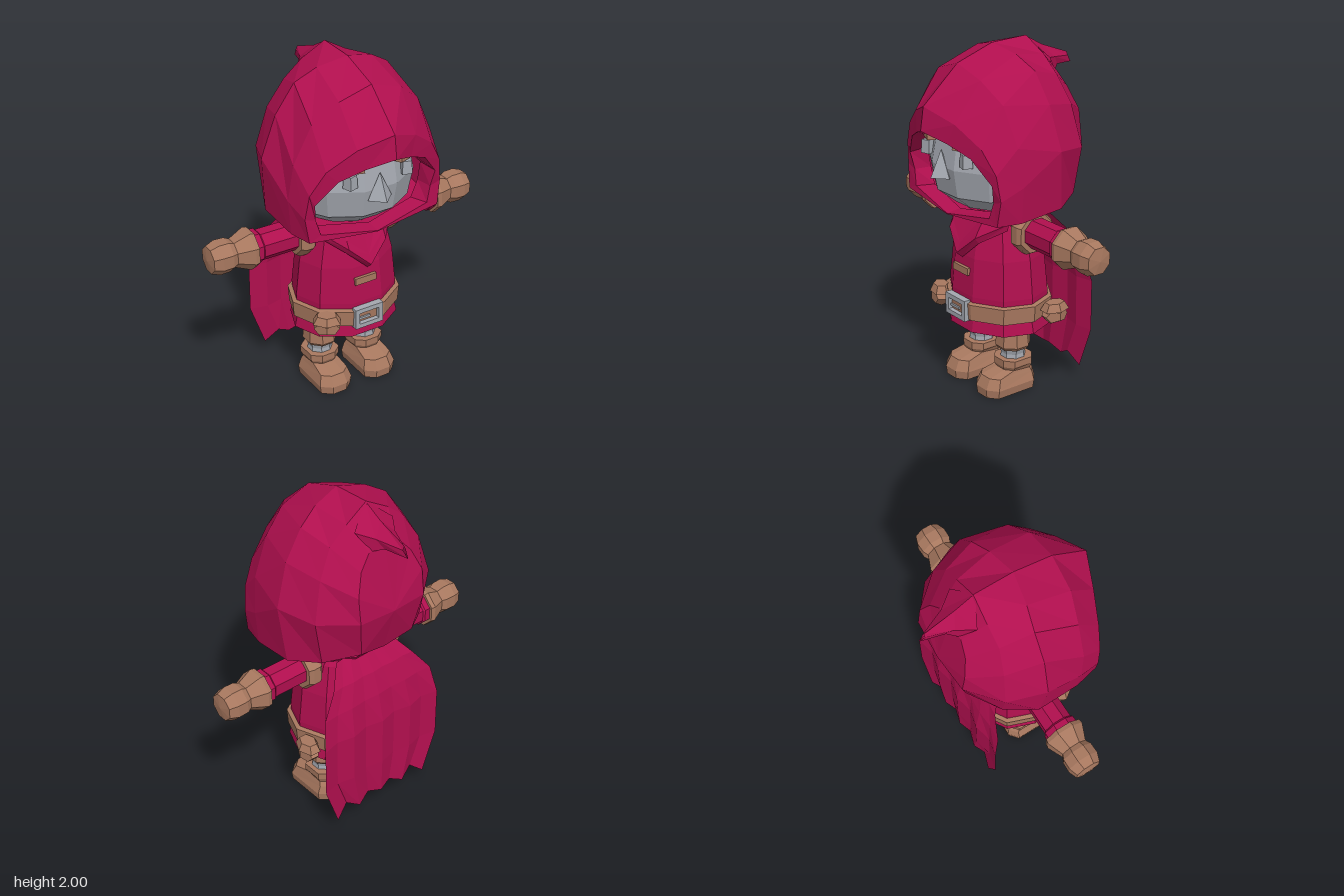
import * as THREE from 'three';

const paint = (name, color, side = THREE.FrontSide) => {
  const m = new THREE.MeshStandardMaterial({ color, flatShading: true, side });
  m.name = name;
  return m;
};

export function createModel() {
  const model = new THREE.Group();
  model.name = 'hoodedFigure';
  const crimson = paint('crimson cloth', 0xb00f4e, THREE.DoubleSide);
  const brown = paint('brown leather', 0xa8785f);
  const grey = paint('grey metal', 0xa3a7af);

  const add = (name, geo, mat, parent = model) => {
    const mesh = new THREE.Mesh(geo, mat);
    mesh.name = name;
    parent.add(mesh);
    return mesh;
  };

  // Skin over rows of points
  const grid = (rows, closed) => {
    const n = rows[0].length, index = [];
    for (let i = 0; i < rows.length - 1; i++)
      for (let j = 0; j < (closed ? n : n - 1); j++) {
        const k = (j + 1) % n;
        const a = i * n + j, b = i * n + k, c = a + n, d = b + n;
        index.push(a, b, d, a, d, c);
      }
    const geo = new THREE.BufferGeometry();
    geo.setAttribute('position', new THREE.Float32BufferAttribute(rows.flat(2), 3));
    geo.setIndex(index);
    geo.computeVertexNormals();
    return geo;
  };

  // Faceted turned shape, profile given from bottom to top
  const turned = (profile, sides, sx = 1, sz = 1) => new THREE.LatheGeometry(
    profile.map(([r, y]) => new THREE.Vector2(r, y)), sides, Math.PI / sides).scale(sx, 1, sz);

  // Hood: half loops from the top to the bottom centre, front rim to back
  const halfLoops = [
    [[0, 1.59, .40], [.14, 1.54, .34], [.25, 1.46, .28], [.35, 1.36, .23], [.35, 1.24, .21], [.30, 1.15, .22], [0, 1.10, .26]],
    [[0, 1.58, .51], [.14, 1.53, .44], [.27, 1.47, .385], [.38, 1.34, .33], [.365, 1.24, .31], [.34, 1.15, .32], [0, 1.09, .35]],
    [[0, 1.71, .49], [.18, 1.64, .42], [.33, 1.53, .36], [.41, 1.40, .325], [.43, 1.26, .31], [.41, 1.12, .32], [0, 1.085, .35]],
    [[0, 1.91, .27], [.19, 1.85, .26], [.33, 1.74, .22], [.43, 1.53, .20], [.455, 1.32, .18], [.44, 1.12, .18], [0, 1.08, .18]],
    [[0, 1.99, .04], [.17, 1.95, .01], [.29, 1.88, -.02], [.40, 1.72, -.03], [.48, 1.48, -.05], [.45, 1.15, -.08], [0, 1.08, -.05]],
    [[0, 2.0, -.19], [.14, 1.92, -.20], [.25, 1.83, -.20], [.34, 1.68, -.23], [.40, 1.45, -.26], [.35, 1.18, -.25], [0, 1.10, -.24]],
    [[0, 1.82, -.33], [.10, 1.80, -.33], [.17, 1.72, -.35], [.22, 1.60, -.39], [.22, 1.45, -.41], [.18, 1.22, -.37], [0, 1.18, -.35]],
  ];
  const hoodRows = halfLoops.map((h) =>
    [...h, ...h.slice(1, -1).reverse().map(([x, y, z]) => [-x, y, z])]);
  hoodRows.push(hoodRows[0].map(() => [0, 1.45, -.425]));
  add('hood', grid(hoodRows, true), crimson);

  // Drooping point at the back of the hood
  const pointBase = [[0, 2.0, -.18], [.13, 1.89, -.25], [.08, 1.80, -.33], [0, 1.83, -.31], [-.08, 1.80, -.33], [-.13, 1.89, -.25]];
  const pointMid = [[0, 1.935, -.30], [.065, 1.87, -.34], [.04, 1.82, -.38], [0, 1.825, -.38], [-.04, 1.82, -.38], [-.065, 1.87, -.34]];
  const pointEnd = [[0, 1.87, -.48], [.01, 1.85, -.48], [0, 1.81, -.51], [0, 1.81, -.51], [0, 1.81, -.51], [-.01, 1.85, -.48]];
  add('hoodPoint', grid([pointBase, pointMid, pointEnd], true), crimson);

  // Head and face
  add('head', turned([[0, 1.09], [.25, 1.115], [.36, 1.2], [.39, 1.36], [.36, 1.52], [.2, 1.68], [0, 1.72]], 12, 1, .99), grey);
  const nose = add('nose', new THREE.ConeGeometry(.075, .15, 4), grey);
  nose.scale.z = .95;
  nose.position.set(-.01, 1.38, .375);
  for (const s of [1, -1]) {
    const eye = add('eye', new THREE.CylinderGeometry(.035, .04, .075, 4), grey);
    eye.position.set(s * .175, 1.43, .345);
    eye.rotation.y = s * .5;
    const brow = add('eyebrow', new THREE.BoxGeometry(.14, .035, .06), brown);
    brow.position.set(s * .165, 1.495, .335);
    brow.rotation.set(0, s * .45, s * -.08);
  }

  // Tunic and the trouser seat below it
  add('tunic', turned([[.25, .4], [.275, .39], [.262, .46], [.265, .6], [.245, .82], [.205, 1.0], [.14, 1.1]], 10, 1.18, 1), crimson);
  add('trouserSeat', turned([[0, .35], [.17, .355], [.262, .41]], 10, 1.15, 1), brown);

  // Collar and neckerchief
  add('collar', turned([[.2, 1.03], [.22, 1.06], [.19, 1.09], [.13, 1.1]], 10, 1.12, 1), crimson);
  const scarfRow = (x1, p, q) => [[-x1, ...p[0]], [-.12, ...p[1]], [0, ...q], [.12, ...p[1]], [x1, ...p[0]]];
  add('neckerchief', grid([
    scarfRow(.23, [[1.0, .11], [.92, .225]], [.81, .25]),
    scarfRow(.24, [[1.04, .11], [.955, .25]], [.845, .29]),
    scarfRow(.20, [[1.06, .13], [1.0, .225]], [.90, .265]),
    scarfRow(.20, [[1.10, .10], [1.09, .17]], [1.08, .18]),
  ], false), crimson);
  add('chestClasp', new THREE.BoxGeometry(.135, .042, .04), brown).position.set(-.012, .737, .237);

  // Belt, buckle and pouches
  add('belt', turned([[.255, .46], [.282, .465], [.288, .56], [.255, .57]], 10, 1.17, 1), brown);
  const frame = new THREE.Shape([[-.09, -.062], [.09, -.062], [.09, .062], [-.09, .062]].map((p) => new THREE.Vector2(...p)));
  frame.holes.push(new THREE.Path([[-.063, -.035], [-.063, .035], [.063, .035], [.063, -.035]].map((p) => new THREE.Vector2(...p))));
  const buckle = new THREE.Group();
  buckle.name = 'buckle';
  add('buckleFrame', new THREE.ExtrudeGeometry(frame, { depth: .04, bevelEnabled: false }), grey, buckle);
  add('buckleProng', new THREE.BoxGeometry(.08, .014, .014), grey, buckle).position.set(-.025, -.01, .018);
  buckle.position.set(-.012, .517, .256);
  model.add(buckle);
  for (const [x, z, turn] of [[-.25, .225, -.55], [.355, -.125, 1.5]]) {
    const pouch = new THREE.Group();
    pouch.name = 'pouch';
    add('pouchBody', new THREE.DodecahedronGeometry(1, 0).scale(.078, .058, .06), brown, pouch).position.y = -.01;
    add('pouchFlap', new THREE.CylinderGeometry(.06, .088, .045, 6).scale(1, 1, .72), brown, pouch).position.y = .042;
    pouch.position.set(x, .5, z);
    pouch.rotation.y = turn;
    model.add(pouch);
  }

  // Arms, turned along their length
  for (const s of [1, -1]) {
    const arm = new THREE.Group();
    arm.name = s > 0 ? 'leftArm' : 'rightArm';
    add('sleeve', turned([[.088, .1], [.088, .54], [.098, .55], [.098, .6]], 8), crimson, arm);
    add('shoulderBand', turned([[.07, .235], [.115, .24], [.13, .26], [.13, .305], [.115, .33], [.07, .33]], 8), brown, arm);
    add('glove', turned([[0, .585], [.115, .585], [.12, .61], [.08, .7], [.095, .73], [.097, .79], [.078, .84], [0, .85]], 8), brown, arm);
    arm.rotation.z = -s * Math.PI / 2;
    arm.position.set(0, .99, -.01);
    model.add(arm);
  }

  // Legs and boots
  const section = (w, back, front, y, yFront = y) => {
    const c = w * .45;
    return [[-c, yFront, front], [c, yFront, front], [w, yFront, front - c], [w, y, back + c],
      [c, y, back], [-c, y, back], [-w, y, back + c], [-w, yFront, front - c]];
  };
  const bootRows = [
    section(.001, 0, .002, 0), section(.098, -.115, .22, 0), section(.106, -.12, .225, .05),
    section(.088, -.11, .195, .10, .11), section(.08, -.095, .09, .125, .135),
    section(.094, -.105, .10, .155), section(.094, -.105, .10, .195), section(.001, 0, .002, .2)];
  for (const s of [1, -1]) {
    const leg = new THREE.Group();
    leg.name = s > 0 ? 'leftLeg' : 'rightLeg';
    add('trouserLeg', turned([[0, .25], [.09, .25], [.105, .27], [.098, .36], [.08, .40]], 8, .95, 1), brown, leg);
    add('anklePlate', turned([[.075, .18], [.07, .22], [.08, .26]], 8), grey, leg);
    add('boot', grid(bootRows, true), brown, leg);
    leg.position.x = s * .15 - .012;
    model.add(leg);
  }

  // Cape: rows of y, half width, z, with soft folds growing toward a jagged hem
  const cape = [[.09, .33, -.335], [.35, .42, -.338], [.65, .42, -.335], [.82, .39, -.305], [.95, .29, -.26], [1.06, .2, -.175]];
  const hem = [0, .07, .02, .06, .04, .06, .02, .07, 0];
  add('cape', grid(cape.map(([y, w, z], i) => hem.map((h, j) => [
    -w + w * j / 4 - .008,
    y + (i === 0 ? h : 0),
    z + (j % 2 ? .012 : -.012) * (i < 3 ? 1 : .3),
  ])), false), crimson);

  return model;
}
